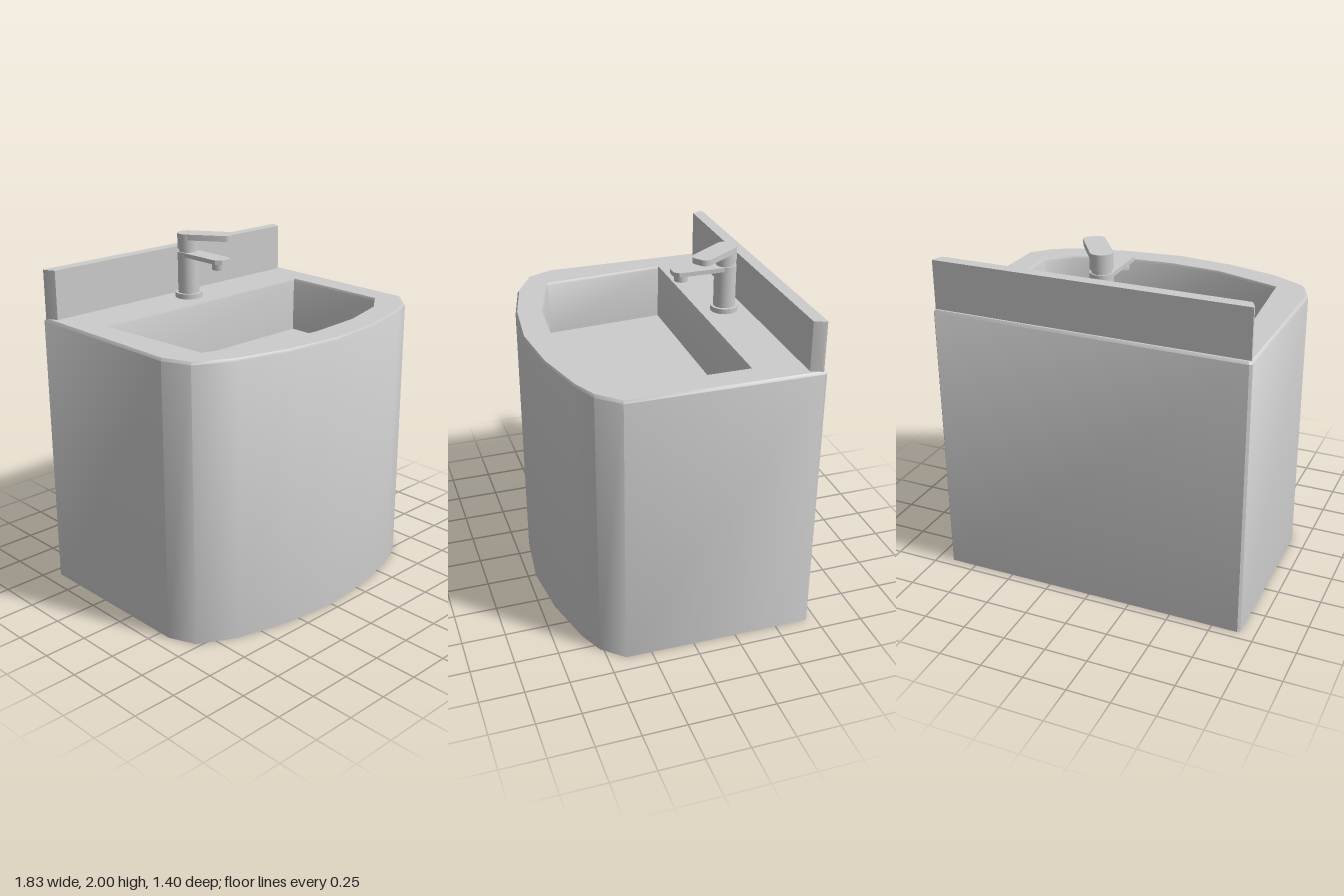
import * as THREE from 'three';
import { toCreasedNormals } from 'three/addons/utils/BufferGeometryUtils.js';

const grey = new THREE.MeshStandardMaterial({ color: 0xcccccc, side: THREE.DoubleSide });

// Plan outlines as [x, z], running left side, front, right side
const bodyPlan = [[-0.9, -0.7], [-0.914, -0.685], [-0.914, 0.32], [-0.85, 0.475], [-0.65, 0.585],
  [-0.34, 0.667], [0, 0.703], [0.34, 0.667], [0.65, 0.585], [0.79, 0.52], [0.9, 0.4],
  [0.912, -0.685], [0.9, -0.7]];
const basinPlan = [[-0.76, -0.34], [-0.705, 0.395], [-0.31, 0.52], [0, 0.545], [0.32, 0.52],
  [0.6, 0.44], [0.755, 0.32], [0.755, -0.34]];

const scalePlan = (plan, s, cz = 0) => plan.map(([x, z]) => [x * s, cz + (z - cz) * s]);
const toShape = (plan) => new THREE.Shape(plan.map(([x, z]) => new THREE.Vector2(x, -z)));

// Wall through a stack of matching outlines, each { plan, y }
function loft(rings, crease = 0.75) {
  const n = rings[0].plan.length, pos = [], index = [];
  rings.forEach(({ plan, y }) => plan.forEach(([x, z]) => pos.push(x, y, z)));
  for (let r = 0; r < rings.length - 1; r++) {
    for (let i = 0; i < n; i++) {
      const a = r * n + i, b = r * n + (i + 1) % n;
      index.push(a, b, b + n, a, b + n, a + n);
    }
  }
  const g = new THREE.BufferGeometry();
  g.setAttribute('position', new THREE.Float32BufferAttribute(pos, 3));
  g.setIndex(index);
  return toCreasedNormals(g, crease);
}

// Horizontal face or plate standing on height y
function flat(shape, y) {
  return new THREE.ShapeGeometry(shape).rotateX(-Math.PI / 2).translate(0, y, 0);
}
function plate(shape, y, height) {
  const g = new THREE.ExtrudeGeometry(shape, { depth: height, bevelEnabled: false, curveSegments: 10 });
  return toCreasedNormals(g.rotateX(-Math.PI / 2).translate(0, y, 0), 0.6);
}

export function createModel() {
  const model = new THREE.Group();
  model.name = 'washbasin';
  const add = (name, geometry, parent = model) => {
    const mesh = new THREE.Mesh(geometry, grey);
    mesh.name = name;
    parent.add(mesh);
    return mesh;
  };

  // Pedestal shell, open underneath, with a small bevel at the top
  const topPlan = scalePlan(bodyPlan, 0.987);
  add('pedestalWall', loft([{ plan: bodyPlan, y: 0 }, { plan: bodyPlan, y: 1.6 }, { plan: topPlan, y: 1.615 }]));

  // Deck around the bowl
  const deck = toShape(topPlan);
  deck.holes.push(new THREE.Path(basinPlan.map(([x, z]) => new THREE.Vector2(x, -z))));
  add('deck', flat(deck, 1.615));

  // Bowl with a fine rim bevel and steep walls
  const rimPlan = scalePlan(basinPlan, 0.988, 0.05);
  const floorPlan = scalePlan(basinPlan, 0.975, 0.05);
  add('bowlWall', loft([{ plan: basinPlan, y: 1.615 }, { plan: rimPlan, y: 1.6 }, { plan: floorPlan, y: 1.29 }]));
  add('bowlFloor', flat(toShape(floorPlan), 1.29));

  // Backsplash with slanted ends
  add('backsplash', plate(toShape([[-0.905, -0.68], [-0.905, -0.665], [-0.877, -0.61],
    [0.88, -0.61], [0.902, -0.665], [0.902, -0.68]]), 1.61, 0.285));

  // Tap, built around its own vertical axis
  const tap = new THREE.Group();
  tap.name = 'tap';
  tap.position.set(-0.01, 0, -0.485);
  model.add(tap);
  const disc = (name, r, y0, y1, z = 0) =>
    add(name, new THREE.CylinderGeometry(r, r, y1 - y0, 28).translate(0, (y0 + y1) / 2, z), tap);
  disc('tapFlange', 0.08, 1.612, 1.645);
  disc('tapColumn', 0.063, 1.645, 1.89);
  disc('tapNeck', 0.054, 1.89, 1.91);
  disc('handleHub', 0.063, 1.91, 2);
  disc('aerator', 0.04, 1.825, 1.866, 0.265);

  // Flat spout with clipped tip corners
  add('spout', plate(toShape([[-0.058, 0], [-0.058, 0.295], [-0.03, 0.322],
    [0.03, 0.322], [0.058, 0.295], [0.058, 0]]), 1.865, 0.025), tap);

  // Lever swung towards the left
  const lever = new THREE.Shape();
  lever.absarc(0, 0, 0.062, 0, Math.PI, false);
  lever.lineTo(-0.06, -0.23);
  lever.quadraticCurveTo(-0.055, -0.262, -0.025, -0.27);
  lever.lineTo(0.025, -0.27);
  lever.quadraticCurveTo(0.055, -0.262, 0.06, -0.23);
  lever.closePath();
  add('handleLever', plate(lever, 1.966, 0.034), tap).rotation.y = 0.6;

  return model;
}
